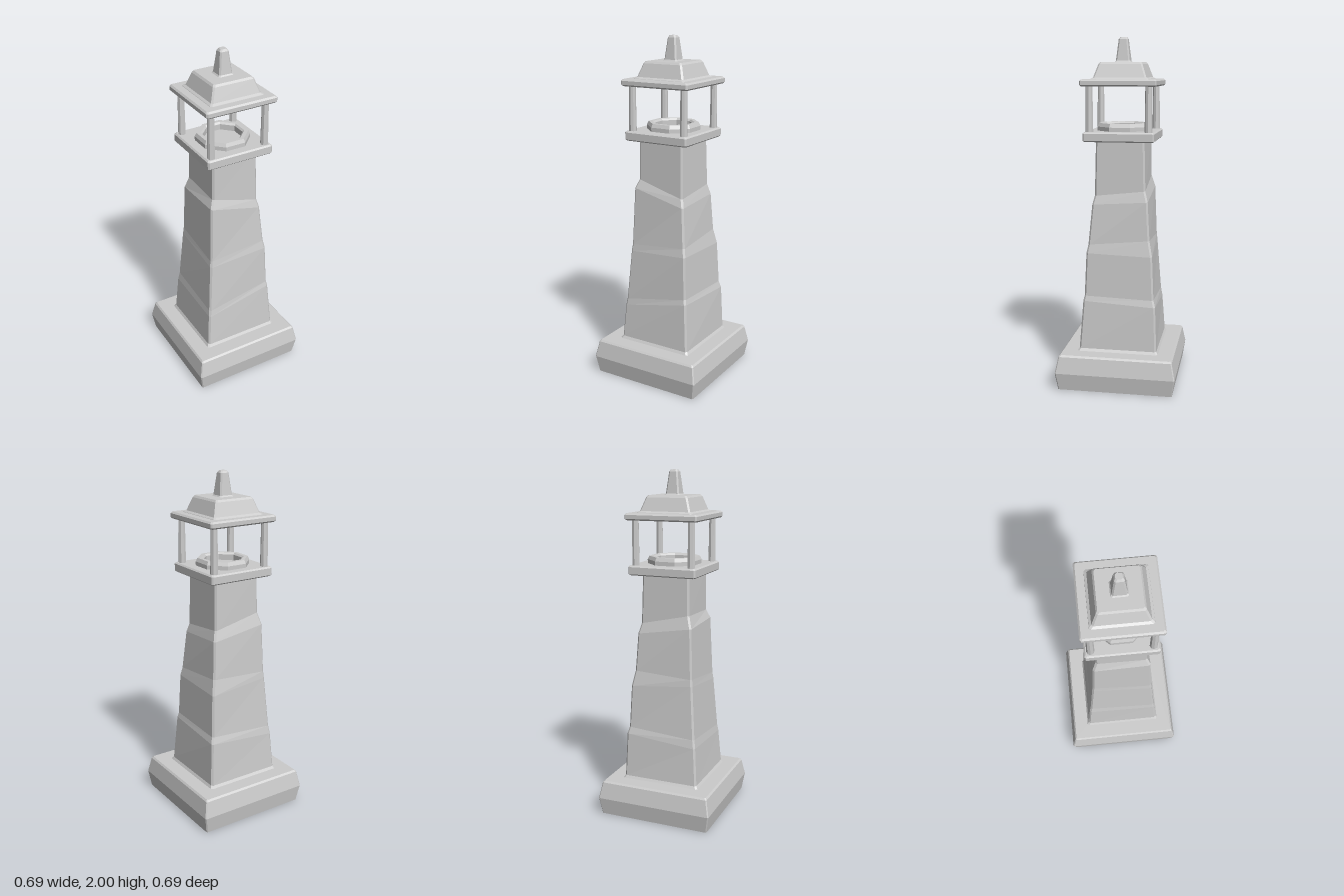
import * as THREE from 'three';

const material = new THREE.MeshStandardMaterial({
  color: 0xcccccc, flatShading: true, side: THREE.DoubleSide,
});

// Corners in counter-clockwise order seen from above: [x sign, z sign]
const CORNERS = [[1, 1], [1, -1], [-1, -1], [-1, 1]];

// Chamfered square ring; levels holds one [half width, height] per corner
function ring(levels, chamfer) {
  return CORNERS.flatMap(([sx, sz], i) => {
    const [h, y] = levels[i];
    const alongX = new THREE.Vector3(sx * (h - chamfer), y, sz * h);
    const alongZ = new THREE.Vector3(sx * h, y, sz * (h - chamfer));
    return sx === sz ? [alongX, alongZ] : [alongZ, alongX];
  });
}

// Skin a stack of rings, with optional flat ends
function loft(rings, capped) {
  const pts = [];
  for (let r = 0; r < rings.length - 1; r++) {
    const a = rings[r], b = rings[r + 1];
    a.forEach((p, i) => {
      const j = (i + 1) % a.length;
      pts.push(p, a[j], b[j], p, b[j], b[i]);
    });
  }
  if (capped) {
    const bottom = rings[0], top = rings[rings.length - 1];
    for (let i = 1; i < bottom.length - 1; i++) {
      pts.push(bottom[0], bottom[i + 1], bottom[i]);
      pts.push(top[0], top[i], top[i + 1]);
    }
  }
  const geometry = new THREE.BufferGeometry().setFromPoints(pts);
  geometry.computeVertexNormals();
  return geometry;
}

// Regular square part from a [half width, height] profile
function squarePart(profile, chamfer, capped = true) {
  return loft(profile.map((level) => ring([level, level, level, level], chamfer)), capped);
}

export function createModel() {
  const group = new THREE.Group();
  const add = (name, geometry, x = 0, y = 0, z = 0) => {
    const mesh = new THREE.Mesh(geometry, material);
    mesh.name = name;
    mesh.position.set(x, y, z);
    group.add(mesh);
  };

  // Hollow plinth, open underneath
  add('plinth', squarePart(
    [[0.33, 0], [0.346, 0.1], [0.327, 0.195], [0.318, 0.205], [0.225, 0.205]], 0.006, false));

  // Weathered tower: each corner steps in at its own heights
  const corners = [
    [[0.238, 0.2], [0.225, 0.22], [0.205, 0.5], [0.198, 0.53], [0.188, 0.78],
      [0.178, 0.83], [0.158, 1.06], [0.145, 1.11], [0.138, 1.43]],
    [[0.238, 0.2], [0.226, 0.22], [0.216, 0.48], [0.205, 0.52], [0.194, 0.77],
      [0.176, 0.86], [0.163, 1.08], [0.147, 1.14], [0.14, 1.43]],
    [[0.238, 0.2], [0.225, 0.22], [0.21, 0.44], [0.202, 0.49], [0.18, 0.8],
      [0.176, 0.84], [0.166, 1.13], [0.146, 1.2], [0.143, 1.43]],
    [[0.238, 0.2], [0.225, 0.22], [0.21, 0.42], [0.204, 0.46], [0.183, 0.76],
      [0.178, 0.8], [0.165, 1.14], [0.145, 1.19], [0.143, 1.43]],
  ];
  add('tower', loft(corners[0].map((_, k) => ring(corners.map((c) => c[k]), 0.01)), false));

  // Gallery slab
  add('galleryFloor', squarePart(
    [[0.194, 1.42], [0.202, 1.427], [0.202, 1.467], [0.194, 1.475]], 0.008));

  // Octagonal lamp ring, flat sides facing the axes
  const ringProfile = [[0.155, 1.47], [0.155, 1.498], [0.145, 1.518], [0.122, 1.518],
    [0.112, 1.508], [0.112, 1.47]].map(([r, y]) => new THREE.Vector2(r, y));
  add('lampRing', new THREE.LatheGeometry(ringProfile, 8, Math.PI / 8));

  // Four posts
  for (const [sx, sz] of CORNERS) {
    add('post', new THREE.CylinderGeometry(0.019, 0.022, 0.27, 8), sx * 0.167, 1.605, sz * 0.167);
  }

  // Eave slab, roof and finial
  add('eave', squarePart(
    [[0.207, 1.727], [0.215, 1.735], [0.215, 1.757], [0.206, 1.766]], 0.008));
  add('roof', squarePart(
    [[0.167, 1.76], [0.163, 1.768], [0.15, 1.776], [0.124, 1.85], [0.115, 1.861]], 0.009));
  add('finial', squarePart(
    [[0.05, 1.857], [0.04, 1.868], [0.026, 1.988], [0.018, 2]], 0.008));

  return group;
}
